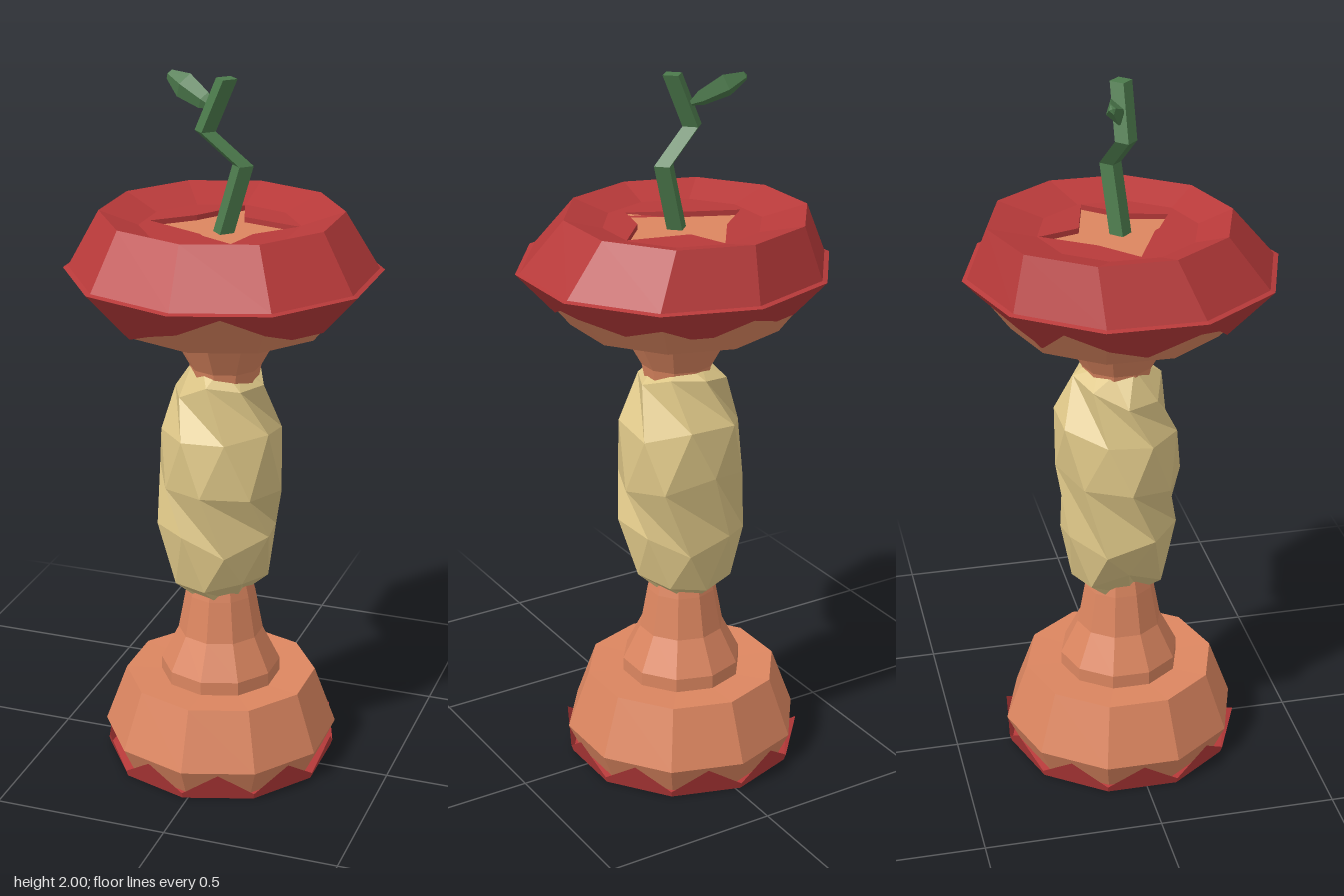
import * as THREE from 'three';

const RED = 0xb83a3a, FLESH = 0xdc8660, CORE = 0xdcc586, GREEN = 0x4c7a4c;
const CX = -0.014, CZ = -0.014; // centre line of the lower parts

function material(color) {
  return new THREE.MeshStandardMaterial({ color, flatShading: true, side: THREE.DoubleSide });
}

function add(parent, name, geometry, color) {
  const mesh = new THREE.Mesh(geometry, material(color));
  mesh.name = name;
  parent.add(mesh);
  return mesh;
}

// Faceted stack of rings, each [radius, y, centreX, centreZ]
function loft(rings, sides = 10) {
  const g = new THREE.LatheGeometry(rings.map(([r, y]) => new THREE.Vector2(r, y)), sides);
  const p = g.attributes.position;
  for (let i = 0; i < p.count; i++) {
    const [, , cx = 0, cz = 0] = rings[i % rings.length];
    p.setXYZ(i, p.getX(i) + cx, p.getY(i), p.getZ(i) + cz);
  }
  return g;
}

// Peel band with a straight edge and a torn edge; reach(i) says how far each tooth extends
function tornBand(from, to, reach, cx = 0, cz = 0) {
  const g = new THREE.LatheGeometry([new THREE.Vector2(1, 0), new THREE.Vector2(1, 1)], 20);
  const p = g.attributes.position;
  for (let i = 0; i < p.count; i++) {
    const seg = Math.floor(i / 2) % 20, a = seg * Math.PI / 10;
    const t = i % 2 ? reach(seg) : 0;
    const flat = seg % 2 ? Math.cos(Math.PI / 10) : 1; // keep the ten-sided outline
    const r = THREE.MathUtils.lerp(from[0], to[0], t) * flat;
    p.setXYZ(i, cx + r * Math.sin(a), THREE.MathUtils.lerp(from[1], to[1], t), cz + r * Math.cos(a));
  }
  return g;
}

// Irregular faceted core: rings turned by half a step with small seeded bumps
function coreGeometry() {
  const rings = [[0, 0.5], [0.06, 0.49], [0.135, 0.57], [0.17, 0.7], [0.178, 0.88],
    [0.172, 1.04], [0.13, 1.15], [0.07, 1.205], [0, 1.2]];
  const sides = 8, n = rings.length;
  const g = loft(rings, sides), p = g.attributes.position;
  const bump = k => { const s = Math.sin(k * 127.1 + 3.7) * 43758.5; return s - Math.floor(s) - 0.5; };
  for (let i = 0; i < p.count; i++) {
    const j = i % n, seg = Math.floor(i / n) % sides;
    const inner = j > 0 && j < n - 1 ? 1 : 0, k = seg * n + j;
    const a = (seg + (j % 2) * 0.5) * 2 * Math.PI / sides;
    const r = rings[j][0] * (1 + inner * 0.14 * bump(k));
    const y = rings[j][1] + inner * (j === 1 || j === n - 2 ? 0.02 : 0.07) * bump(k + 200);
    p.setXYZ(i, CX + r * Math.sin(a), y, CZ + r * Math.cos(a));
  }
  return g;
}

export function createModel() {
  const model = new THREE.Group();

  // Base: flesh foot, flared lower neck, torn peel and sunken underside
  const base = new THREE.Group();
  base.name = 'base';
  model.add(base);
  add(base, 'fleshFoot', loft([
    [0.3, 0.005, CX, CZ], [0.337, 0.085, CX, CZ], [0.275, 0.255, CX, CZ], [0.16, 0.25, CX, CZ],
  ]), FLESH);
  add(base, 'lowerNeck', loft([
    [0.172, 0.25, CX, CZ], [0.172, 0.29, CX, CZ], [0.122, 0.39, CX, CZ],
    [0.1, 0.51, CX, CZ], [0.09, 0.55, CX, CZ],
  ]), FLESH);
  add(base, 'lowerPeel', tornBand([0.325, 0], [0.355, 0.088], i => (i % 2 ? 1 : 0.2), CX, CZ), RED);
  add(base, 'underside', loft([
    [0, 0.015, CX, CZ], [0.22, 0.015, CX, CZ], [0.325, 0, CX, CZ],
  ]), RED);

  // Core between the two necks
  add(model, 'core', coreGeometry(), CORE);

  // Cap: flesh underside and neck
  const cap = new THREE.Group();
  cap.name = 'cap';
  model.add(cap);
  add(cap, 'upperNeck', loft([
    [0.09, 1.15, 0, CZ], [0.1, 1.2, 0, CZ], [0.172, 1.33, 0, CZ], [0.18, 1.36, 0, CZ],
  ]), FLESH);
  add(cap, 'fleshUnderside', loft([
    [0.16, 1.36, 0, CZ], [0.21, 1.355, 0, CZ], [0.295, 1.33, 0, CZ], [0.42, 1.48],
  ]), FLESH);

  // Peel over the cap, with a shallow basin on top
  add(cap, 'upperPeel', loft([
    [0.437, 1.48], [0.423, 1.484], [0.335, 1.63, -0.017, -0.035], [0.22, 1.595, -0.017, -0.015],
  ]), RED);
  const teeth = [0.5, 0.1, 0.5, 0.8, 0.8, 0.5, 0.4, 0.7, 0.4, 0.8,
    0.3, 0.6, 0.9, 0.3, 0.6, 0.9, 0.3, 0.6, 1, 0.75];
  add(cap, 'tornSkirt', tornBand([0.437, 1.48], [0.305, 1.335], i => teeth[i]), RED);

  // Basin floor with a star-shaped tear showing the flesh
  const floor = new THREE.Shape();
  for (let i = 0; i < 10; i++) {
    const a = i * Math.PI / 5;
    floor[i ? 'lineTo' : 'moveTo'](-0.017 + 0.222 * Math.sin(a), 0.015 - 0.222 * Math.cos(a));
  }
  floor.closePath();
  const star = [[-0.017, -0.228], [0.02, -0.115], [0.19, -0.073], [0.095, 0.035],
    [0.06, 0.185], [-0.04, 0.08], [-0.212, 0.003], [-0.11, -0.09]];
  floor.holes.push(new THREE.Path(star.map(([x, z]) => new THREE.Vector2(x, -z))));
  const floorGeometry = new THREE.ExtrudeGeometry(floor, { depth: 0.015, bevelEnabled: false });
  floorGeometry.rotateX(-Math.PI / 2).translate(0, 1.58, 0);
  add(cap, 'basinFloor', floorGeometry, RED);
  const flesh = new THREE.CircleGeometry(0.23, 10).rotateX(-Math.PI / 2).translate(-0.017, 1.58, -0.015);
  add(cap, 'exposedFlesh', flesh, FLESH);

  // Crooked stem, square in section
  const path = [[-0.005, 1.57, -0.005], [0.047, 1.765, -0.022], [-0.053, 1.855, -0.002], [0.008, 2, -0.002]];
  const rings = path.map(([x, y, z]) => [0.03, y, x, z]);
  const stem = loft([[0, 1.57, -0.005, -0.005], ...rings, [0, 2, 0.008, -0.002]], 4);
  add(model, 'stem', stem, GREEN);

  // Small thick leaf
  const leaf = loft([[0, -0.09], [0.025, -0.045], [0.036, 0.03], [0.014, 0.085], [0, 0.09]], 4);
  leaf.scale(1, 1, 0.65);
  const axis = new THREE.Vector3(-0.155, 0.075, -0.055).normalize();
  leaf.applyQuaternion(new THREE.Quaternion().setFromUnitVectors(new THREE.Vector3(0, 1, 0), axis));
  leaf.translate(-0.105, 1.95, -0.04);
  add(model, 'leaf', leaf, GREEN);

  return model;
}
